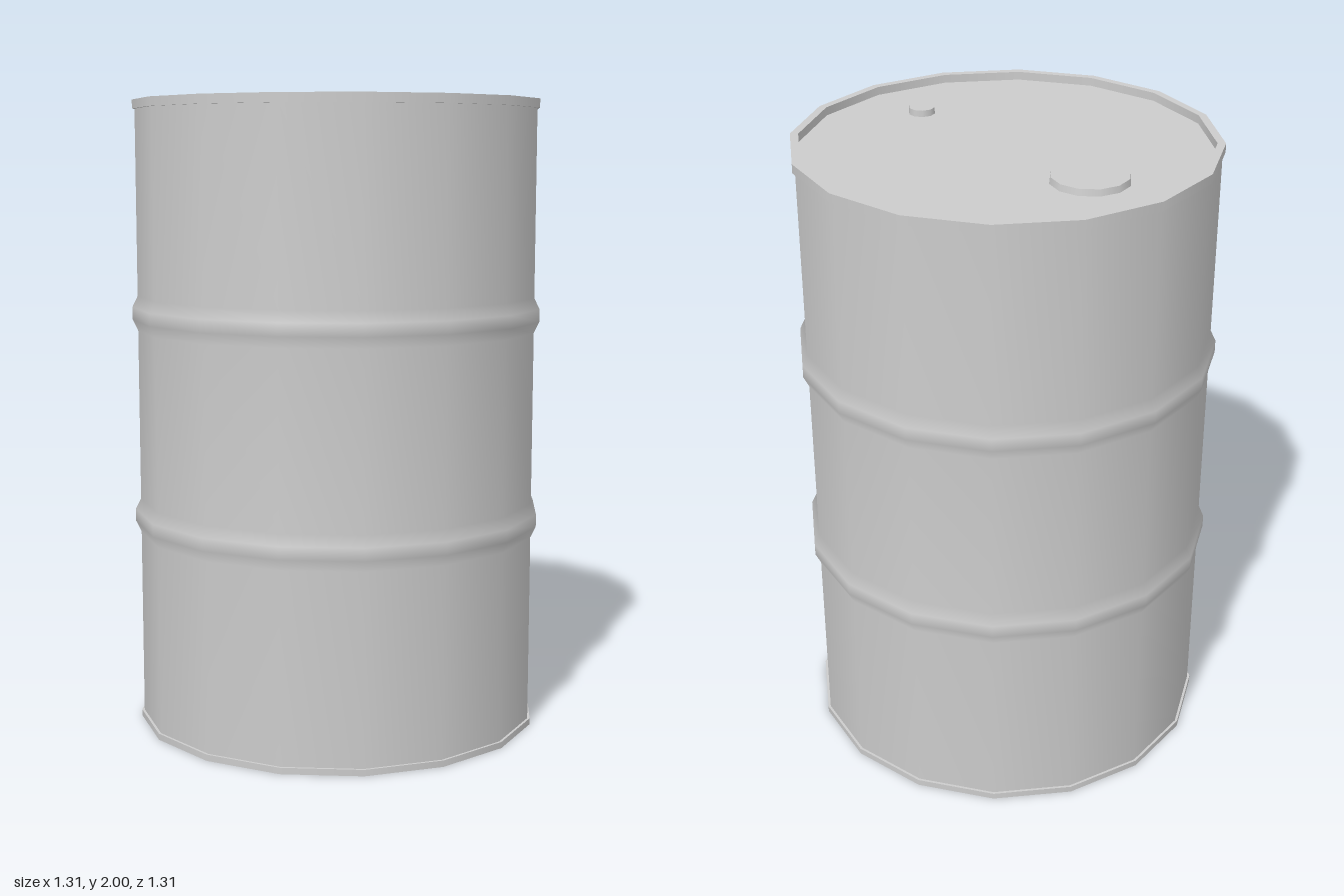
import * as THREE from 'three';

const SIDES = 16;
const material = new THREE.MeshStandardMaterial({ color: 0xcccccc });

// Revolve [radius, y] pairs, listed bottom to top on the outside
function lathe(name, points) {
  const geometry = new THREE.LatheGeometry(points.map(([r, y]) => new THREE.Vector2(r, y)), SIDES);
  const mesh = new THREE.Mesh(geometry, material);
  mesh.name = name;
  return mesh;
}

// Hard-edged hoop with a rectangular section
function hoop(name, inner, outer, y0, y1) {
  const group = new THREE.Group();
  group.name = name;
  const corners = [[inner, y0], [outer, y0], [outer, y1], [inner, y1], [inner, y0]];
  for (let i = 0; i < 4; i++) group.add(lathe(name + 'Face', [corners[i], corners[i + 1]]));
  return group;
}

function disc(name, radius, y, facing) {
  const mesh = new THREE.Mesh(new THREE.CircleGeometry(radius, SIDES), material);
  mesh.rotation.x = -facing * Math.PI / 2;
  mesh.position.y = y;
  mesh.name = name;
  return mesh;
}

// Low screw cap standing on the lid
function cap(name, radius, sides, z) {
  const mesh = new THREE.Mesh(new THREE.CylinderGeometry(radius * 0.97, radius, 0.022, sides), material);
  mesh.position.set(0, 1.983, z);
  mesh.name = name;
  return mesh;
}

export function createModel() {
  const drum = new THREE.Group();
  drum.name = 'drum';

  // Smooth wall with two rolled ribs
  const wall = [[0.64, 0.015]];
  for (const y of [0.675, 1.33]) {
    wall.push([0.64, y - 0.055], [0.657, y - 0.02], [0.657, y + 0.02], [0.64, y + 0.055]);
  }
  wall.push([0.64, 1.985]);
  drum.add(lathe('wall', wall));

  // Rims around both ends
  drum.add(hoop('topRim', 0.623, 0.648, 1.972, 2));
  drum.add(hoop('bottomRim', 0.623, 0.648, 0, 0.02));

  // Recessed lid and base
  drum.add(disc('lid', 0.63, 1.974, 1));
  drum.add(disc('base', 0.63, 0.01, -1));

  // Filler and vent caps
  drum.add(cap('fillerCap', 0.12, 12, -0.36));
  drum.add(cap('ventCap', 0.042, 10, 0.4));
  return drum;
}
